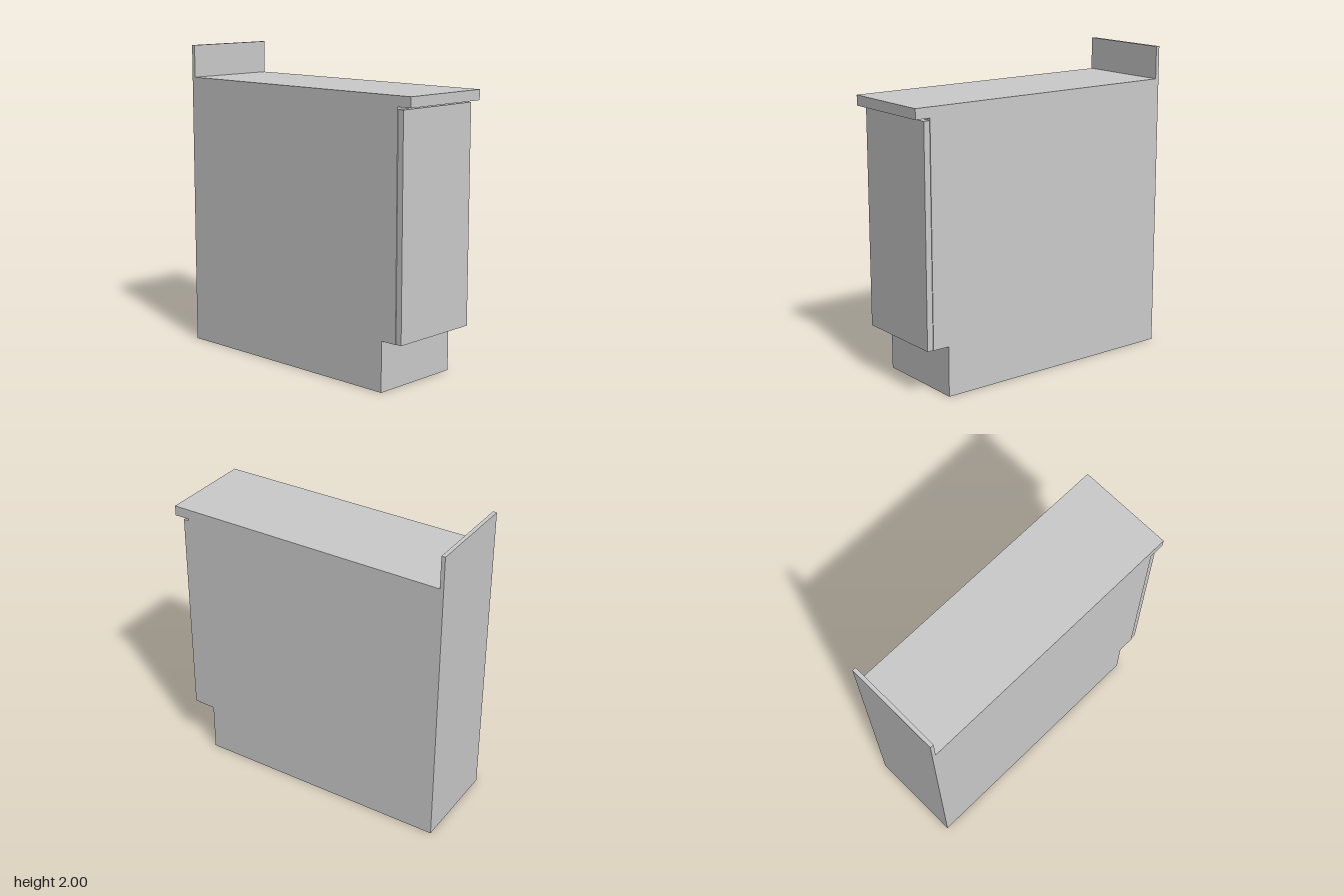
import * as THREE from 'three';

const HALF_WIDTH = 0.315;
const BACK = -0.95;

export function createModel() {
  const group = new THREE.Group();
  const material = new THREE.MeshStandardMaterial({ color: 0xcccccc });

  const add = (name, geometry) => {
    const mesh = new THREE.Mesh(geometry, material);
    mesh.name = name;
    group.add(mesh);
    return mesh;
  };

  // Box given by half width and its y and z limits
  const addBox = (name, halfWidth, y0, y1, z0, z1) => {
    const mesh = add(name, new THREE.BoxGeometry(halfWidth * 2, y1 - y0, z1 - z0));
    mesh.position.set(0, (y0 + y1) / 2, (z0 + z1) / 2);
  };

  // Cabinet body: side profile with a toe-kick recess, extruded across the width
  const profile = new THREE.Shape([
    [BACK, 0], [0.74, 0], [0.74, 0.32], [0.85, 0.32], [0.85, 1.725], [BACK, 1.725],
  ].map(([z, y]) => new THREE.Vector2(-z, y)));
  const body = new THREE.ExtrudeGeometry(profile, { depth: HALF_WIDTH * 2, bevelEnabled: false });
  body.translate(0, 0, -HALF_WIDTH);
  body.rotateY(Math.PI / 2);
  add('cabinetBody', body);

  // Door, slightly narrower than the body
  addBox('door', 0.31, 0.32, 1.71, 0.85, 0.89);

  // Overhanging worktop and upright splashback
  addBox('worktop', HALF_WIDTH, 1.725, 1.79, BACK, 0.95);
  addBox('splashback', HALF_WIDTH, 1.79, 2, BACK, -0.925);

  return group;
}
